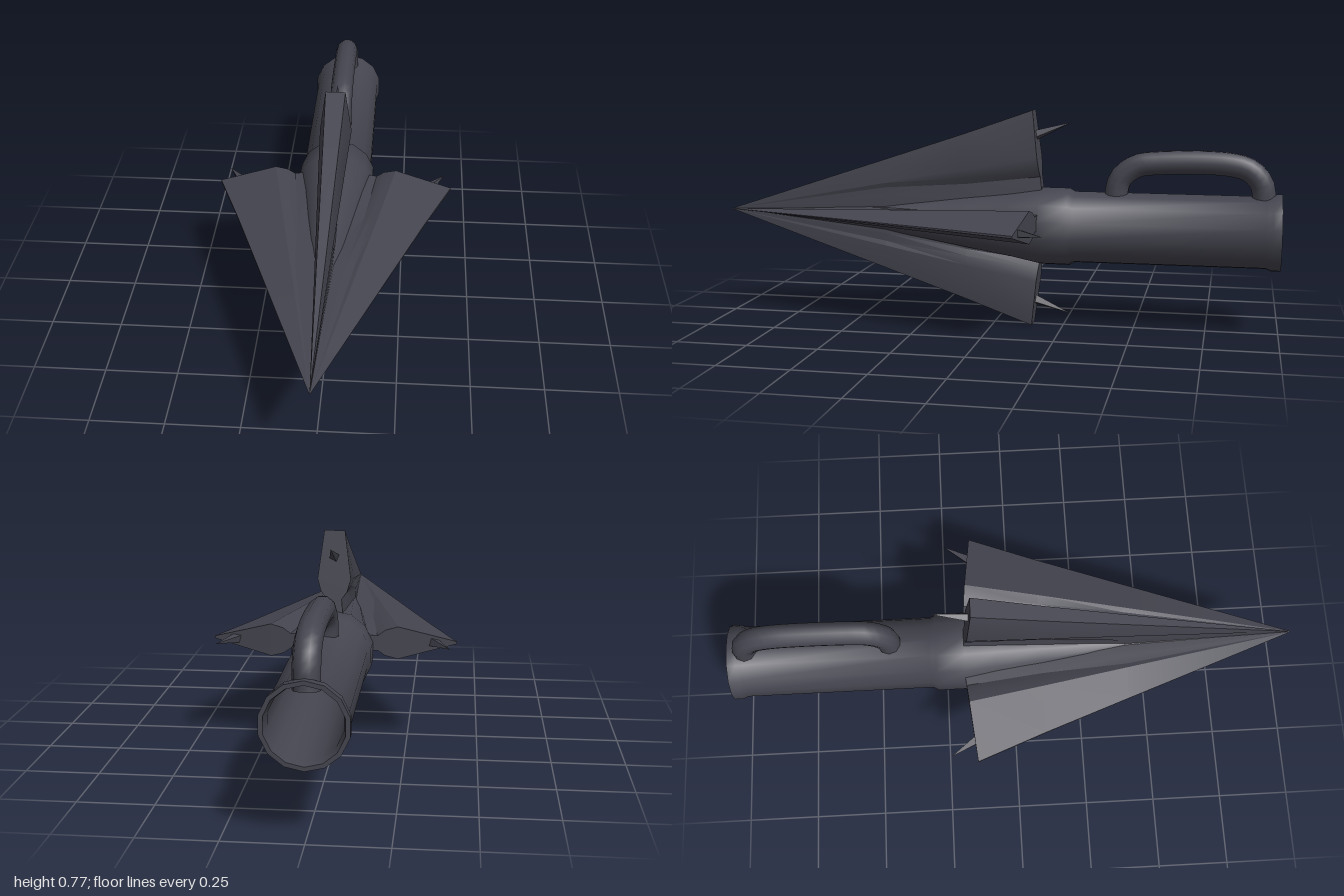
import * as THREE from 'three';
import { toCreasedNormals } from 'three/addons/utils/BufferGeometryUtils.js';

const AXIS = 0.39; // height of the tip

// Fin pointing along +x: half sections [radius, half thickness] mirrored and lofted from tip to rear
function finGeometry(R, edge) {
  const sections = [
    { z: 1, s: 0.004 },
    { z: 0.4, s: 0.52, groove: [0.068, 0.027], root: 0.024 },
    { z: 0.1, s: 0.78, groove: [0.118, 0.024], root: 0.03 },
    { z: -0.15, s: 1, groove: [0.15, 0.026], root: 0.04 },
  ];
  const pos = [], idx = [], half = 5, n = half * 2;
  sections.forEach(({ z, s, groove = [0.13 * s, 0.05 * s], root = 0.046 * s }, i) => {
    const upper = [[R * s, edge * s], [0.22 * s, 0.057 * s], [0.165 * s + 0.012 * (s > 0.5), 0.045 * s], groove, [0, root]];
    const loop = [...upper, ...upper.map(([r, w]) => [r, -w]).reverse()];
    const rear = i === sections.length - 1;
    loop.forEach(([r, w]) => pos.push(r, w, rear ? -0.185 + 0.045 * (r / R) : z));
  });
  for (let i = 0; i < sections.length - 1; i++) {
    for (let j = 0; j < n; j++) {
      const a = i * n + j, b = i * n + (j + 1) % n;
      idx.push(a, a + n, b, b, a + n, b + n);
    }
  }
  // rear face
  const o = (sections.length - 1) * n;
  for (let j = 0; j < half - 1; j++) {
    const p = o + j, m = o + n - 1 - j;
    idx.push(p, m, p + 1, p + 1, m, m - 1);
  }
  const g = new THREE.BufferGeometry();
  g.setAttribute('position', new THREE.Float32BufferAttribute(pos, 3));
  g.setIndex(idx);
  return toCreasedNormals(g, 0.45);
}

// Thin spike between two points
function spike(from, to, radius, material) {
  const dir = to.clone().sub(from);
  const mesh = new THREE.Mesh(toCreasedNormals(new THREE.ConeGeometry(radius, dir.length(), 4), 0.4), material);
  mesh.quaternion.setFromUnitVectors(new THREE.Vector3(0, 1, 0), dir.normalize());
  mesh.position.copy(from).add(to).multiplyScalar(0.5);
  return mesh;
}

export function createModel() {
  const model = new THREE.Group();
  model.name = 'harpoonHead';
  const steel = new THREE.MeshStandardMaterial({ color: 0x454550 });
  steel.name = 'darkSteel';

  // Core, collar and hollow socket in one turned profile [radius, distance backwards]
  const profile = [
    [0, -0.98], [0.05, -0.4], [0.095, -0.1], [0.118, 0.06], [0.138, 0.17], [0.138, 0.27], [0.127, 0.29],
    [0.126, 0.95], [0.134, 0.97], [0.134, 1], [0.12, 1], [0.112, 0.96], [0.11, 0.2], [0, 0.2],
  ].map(([r, a]) => new THREE.Vector2(r, a));
  const coreGeo = new THREE.LatheGeometry(profile, 14).rotateX(-Math.PI / 2);
  const p = coreGeo.attributes.position;
  for (let i = 0; i < p.count; i++) {
    // the axis sinks slightly behind the tip
    const k = THREE.MathUtils.clamp((1 - p.getZ(i)) / 1.2, 0, 1);
    p.setY(i, p.getY(i) + AXIS - 0.028 * k);
  }
  const core = new THREE.Mesh(toCreasedNormals(coreGeo, 0.7), steel);
  core.name = 'coreAndSocket';
  model.add(core);

  // Four fins: blade-edged at the sides, flat-edged above and below, each with a barb
  const sideFin = finGeometry(0.422, 0.004);
  const uprightFin = finGeometry(0.384, 0.035);
  ['leftFin', 'topFin', 'rightFin', 'bottomFin'].forEach((name, i) => {
    const fin = new THREE.Group();
    fin.name = name;
    const side = i % 2 === 0;
    const blade = new THREE.Mesh(side ? sideFin : uprightFin, steel);
    blade.name = 'blade';
    const barb = side
      ? spike(new THREE.Vector3(0.315, 0, -0.1), new THREE.Vector3(0.4, 0, -0.235), 0.028, steel)
      : spike(new THREE.Vector3(0.285, 0, -0.12), new THREE.Vector3(0.342, 0, -0.275), 0.022, steel);
    barb.name = 'barb';
    fin.add(blade, barb);
    fin.position.y = AXIS;
    fin.rotation.z = i * Math.PI / 2;
    model.add(fin);
  });

  // Carrying handle on the socket
  const path = new THREE.CatmullRomCurve3([
    [0.45, -0.43], [0.535, -0.445], [0.582, -0.5], [0.595, -0.58], [0.595, -0.82], [0.575, -0.89], [0.53, -0.93], [0.45, -0.94],
  ].map(([y, z]) => new THREE.Vector3(0, y, z)), false, 'centripetal');
  const handle = new THREE.Mesh(new THREE.TubeGeometry(path, 28, 0.042, 10), steel);
  handle.name = 'handle';
  model.add(handle);

  return model;
}
